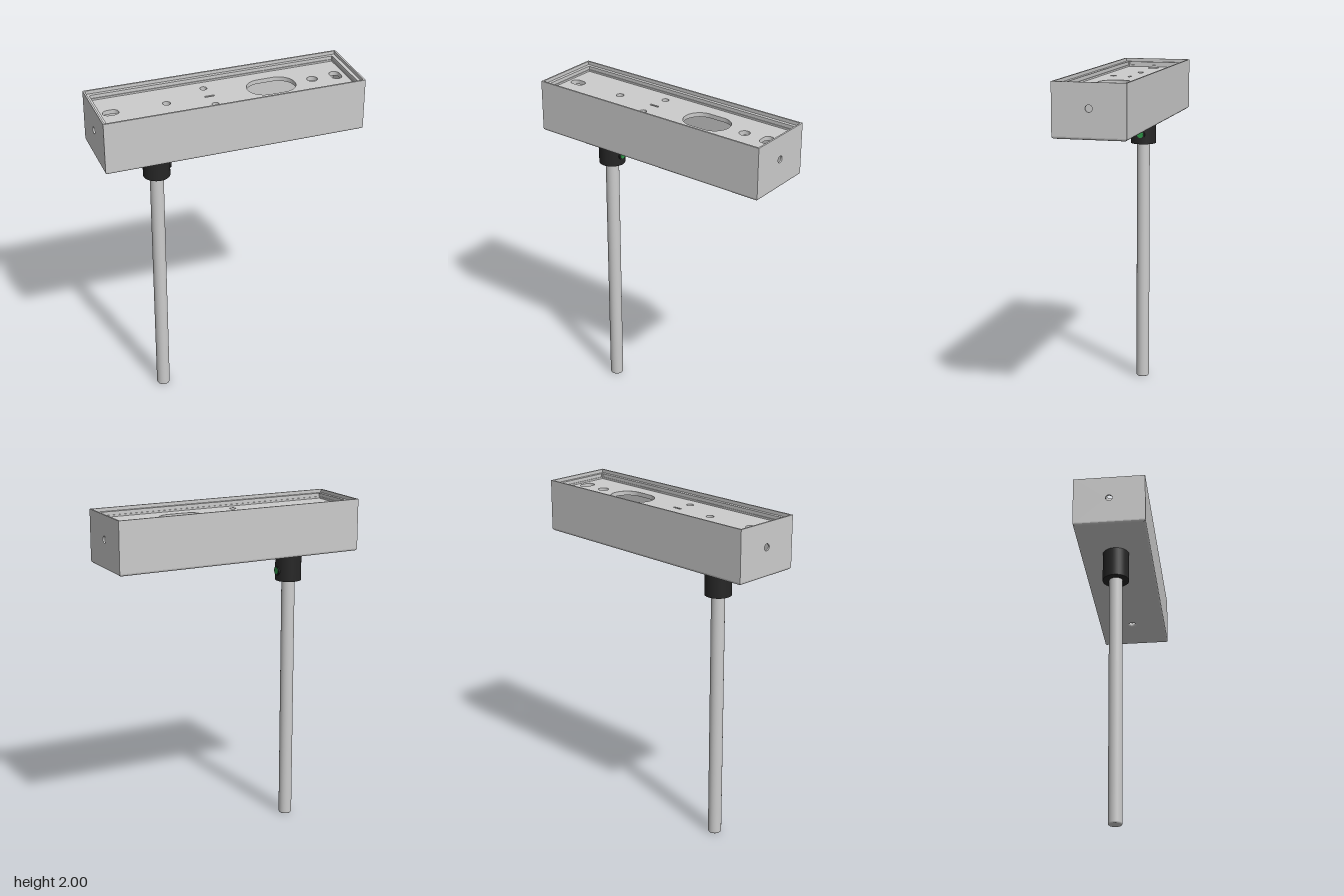
import * as THREE from 'three';

const HALF_X = 0.765, HALF_Z = 0.21, TOP = 2, BASE = 1.69;
const POLE_X = -0.415;

const material = (color) => new THREE.MeshStandardMaterial({ color });

// Rectangle outline centred on the origin
function rect(w, h, Type = THREE.Shape) {
  const s = new Type();
  s.moveTo(-w / 2, -h / 2);
  s.lineTo(w / 2, -h / 2);
  s.lineTo(w / 2, h / 2);
  s.lineTo(-w / 2, h / 2);
  s.closePath();
  return s;
}

// Round or slotted hole; sx and sy are half-lengths of the straight part
function slot(x, y, r, sx = 0, sy = 0) {
  const p = new THREE.Path();
  if (sy > 0) {
    p.absarc(x, y + sy, r, 0, Math.PI);
    p.absarc(x, y - sy, r, Math.PI, 2 * Math.PI);
  } else {
    p.absarc(x + sx, y, r, -Math.PI / 2, Math.PI / 2);
    p.absarc(x - sx, y, r, Math.PI / 2, Math.PI * 1.5);
  }
  p.closePath();
  return p;
}

// Extrude a plan outline upwards from height y
function slab(shape, y, depth, options = {}) {
  const g = new THREE.ExtrudeGeometry(shape, { depth, bevelEnabled: false, curveSegments: 16, ...options });
  return g.rotateX(-Math.PI / 2).translate(0, y, 0);
}

export function createModel() {
  const model = new THREE.Group();
  const grey = material(0xcccccc);
  const dark = material(0x262626);
  const add = (name, geometry, mat = grey, parent = model) => {
    const mesh = new THREE.Mesh(geometry, mat);
    mesh.name = name;
    parent.add(mesh);
    return mesh;
  };

  const housing = new THREE.Group();
  housing.name = 'housing';
  model.add(housing);

  // Bottom with a rounded lower edge and a drain hole
  const r = 0.015;
  const bottom = rect(2 * (HALF_X - r), 2 * (HALF_Z - r));
  bottom.holes.push(slot(0.49, 0, 0.035));
  add('bottomPanel', slab(bottom, BASE + r, 0.001, {
    bevelEnabled: true, bevelThickness: r, bevelSize: r, bevelSegments: 4,
  }), grey, housing);

  // Side walls, and end walls with a cable hole
  const wall = 0.01, wallH = TOP - BASE - r, wallY = BASE + r + wallH / 2;
  for (const side of [1, -1]) {
    const long = new THREE.BoxGeometry(2 * HALF_X, wallH, wall);
    add('longWall', long.translate(0, wallY, side * (HALF_Z - wall / 2)), grey, housing);

    const end = rect(2 * (HALF_Z - wall), wallH);
    end.holes.push(slot(0, 1.86 - wallY, 0.02));
    const g = new THREE.ExtrudeGeometry(end, { depth: wall, bevelEnabled: false, curveSegments: 16 });
    g.translate(0, 0, HALF_X - wall).rotateY(side * Math.PI / 2).translate(0, wallY, 0);
    add('endWall', g, grey, housing);
  }

  // Stepped ledge just inside the rim
  const steps = [[0.01, 1.95, 0.03, 0.02], [0.023, 1.945, 0.015, 0.012]];
  for (const [inset, y, depth, width] of steps) {
    const w = 2 * (HALF_X - inset), d = 2 * (HALF_Z - inset);
    const ledge = rect(w, d);
    ledge.holes.push(rect(w - 2 * width, d - 2 * width, THREE.Path));
    add('ledge', slab(ledge, y, depth), grey, housing);
  }

  // Corner tabs on the ledge
  for (const sx of [1, -1]) for (const sz of [1, -1]) {
    const tab = new THREE.BoxGeometry(0.02, 0.03, 0.025);
    add('cornerTab', tab.translate(sx * 0.742, 1.965, sz * 0.185), grey, housing);
  }

  // Recessed mounting plate with slots, screw holes and a large cable opening
  const plate = rect(2 * (HALF_X - wall), 2 * (HALF_Z - wall));
  plate.holes.push(
    slot(-0.665, 0, 0.031, 0.015),
    slot(-0.345, 0, 0.022),
    slot(-0.093, 0.102, 0.02),
    slot(-0.093, -0.102, 0.02),
    slot(-0.093, 0, 0.006, 0.024),
    slot(0.278, 0, 0.096, 0.048),
    slot(0.53, 0, 0.031),
    slot(0.675, 0, 0.031, 0, 0.016),
  );
  add('mountingPlate', slab(plate, 1.925, 0.025), grey, housing);

  // Pair of supply wires rising from the collar into the housing
  for (const [dx, color] of [[-0.013, 0xd08a20], [0.013, 0x3a78b8]]) {
    const path = new THREE.CatmullRomCurve3([
      new THREE.Vector3(POLE_X + dx, 1.69, 0),
      new THREE.Vector3(POLE_X + 0.03 + dx, 1.74, 0),
      new THREE.Vector3(-0.345 + dx, 1.82, 0),
    ]);
    add('wire', new THREE.TubeGeometry(path, 12, 0.009, 8), material(color));
  }

  // Collar, with a small indicator lamp on its left side
  add('collar', new THREE.CylinderGeometry(0.078, 0.078, 0.18, 40).translate(POLE_X, 1.6, 0), dark);
  const bezel = new THREE.CylinderGeometry(0.028, 0.028, 0.02, 24).rotateZ(-Math.PI / 2);
  add('lampBezel', bezel.translate(POLE_X + 0.071, 1.57, 0), dark);
  const lamp = new THREE.CylinderGeometry(0.02, 0.02, 0.006, 24).rotateZ(-Math.PI / 2);
  add('indicatorLamp', lamp.translate(POLE_X + 0.081, 1.57, 0), material(0x2f9a4a));

  // Pole with a softened foot
  const profile = [[0, 0], [0.034, 0], [0.038, 0.003], [0.04, 0.01], [0.04, 1.53], [0, 1.53]];
  const pole = new THREE.LatheGeometry(profile.map(([x, y]) => new THREE.Vector2(x, y)), 32);
  add('pole', pole.translate(POLE_X, 0, 0));

  return model;
}
